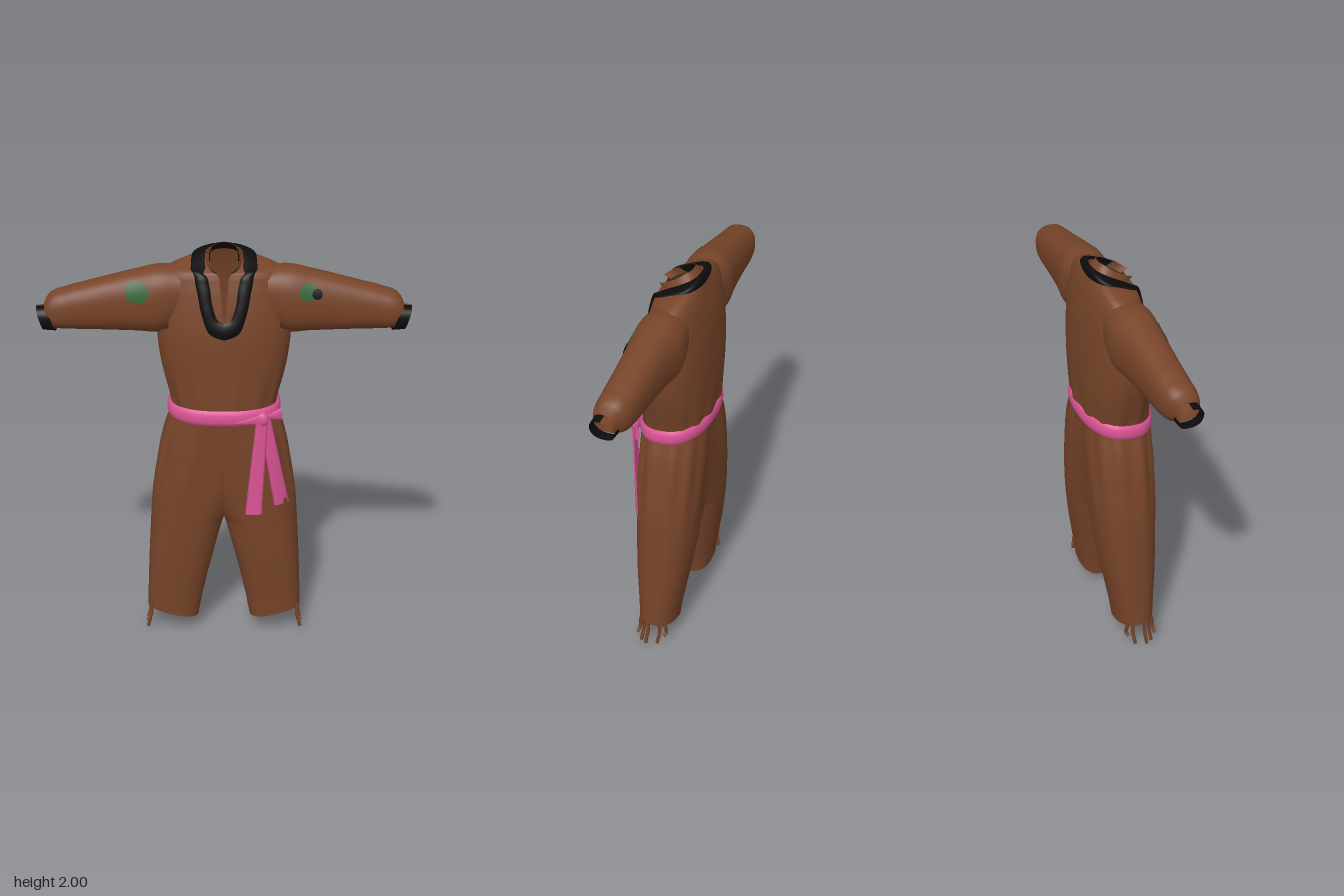
import * as THREE from 'three';

const material = (name, color) =>
  new THREE.MeshStandardMaterial({ name, color, side: THREE.DoubleSide });
const TAU = Math.PI * 2;

// Smooth interpolation of table rows, keyed by their first column.
function sample(rows, key) {
  let i = 0;
  while (i < rows.length - 2 && key > rows[i + 1][0]) i++;
  const f = THREE.MathUtils.clamp((key - rows[i][0]) / (rows[i + 1][0] - rows[i][0]), 0, 1);
  const at = (k) => rows[THREE.MathUtils.clamp(k, 0, rows.length - 1)];
  return rows[0].map((_, c) => {
    const [p, q, r, s] = [at(i - 1)[c], at(i)[c], at(i + 1)[c], at(i + 2)[c]];
    const m0 = (r - p) / 2, m1 = (s - q) / 2, f2 = f * f, f3 = f2 * f;
    return q * (2 * f3 - 3 * f2 + 1) + m0 * (f3 - 2 * f2 + f) + r * (3 * f2 - 2 * f3) + m1 * (f3 - f2);
  });
}

// Rounded-box outline: [sine-like, cosine-like] of an angle.
const N = 2.4;
const round = (t) => Math.sign(t) * Math.abs(t) ** (2 / N);
const oval = (a) => [round(Math.sin(a)), round(Math.cos(a))];

// Surface through point(u, v) on a grid; closed wraps u, skip drops cells.
function loft(name, mat, point, nu, nv, closed = false, skip = null) {
  const pos = [], index = [], cols = closed ? nu : nu + 1;
  for (let j = 0; j <= nv; j++)
    for (let i = 0; i < cols; i++) pos.push(...point(i / nu, j / nv));
  for (let j = 0; j < nv; j++)
    for (let i = 0; i < nu; i++) {
      if (skip && skip(point((i + 0.5) / nu, (j + 0.5) / nv))) continue;
      const a = j * cols + i, b = j * cols + ((i + 1) % cols);
      index.push(a, b, a + cols, b, b + cols, a + cols);
    }
  const geo = new THREE.BufferGeometry();
  geo.setAttribute('position', new THREE.Float32BufferAttribute(pos, 3));
  geo.setIndex(index);
  geo.computeVertexNormals();
  const mesh = new THREE.Mesh(geo, mat);
  mesh.name = name;
  return mesh;
}

// y, half width, front z, back z, tilt
const TORSO = [
  [1.15, 0.24, 0.13, -0.18, 0], [1.25, 0.25, 0.135, -0.185, 0], [1.4, 0.288, 0.13, -0.19, 0],
  [1.5, 0.306, 0.128, -0.19, 0], [1.6, 0.314, 0.122, -0.187, 0], [1.72, 0.308, 0.106, -0.178, 0],
  [1.8, 0.3, 0.09, -0.167, 0], [1.87, 0.285, 0.073, -0.152, 0.03], [1.905, 0.25, 0.065, -0.14, 0.12],
  [1.93, 0.19, 0.06, -0.13, 0.25], [1.95, 0.135, 0.055, -0.12, 0.4], [1.965, 0.085, 0.05, -0.11, 0.5],
];
function torsoPoint(y, a, off = 0) {
  const [, w, zf, zb, tilt] = sample(TORSO, y);
  const [s, c] = oval(a);
  const fold = 0.004 * Math.sin(a * 13) * Math.exp(-(((y - 1.27) / 0.12) ** 2));
  const z = (zf + zb) / 2 + ((zf - zb) / 2 + off + fold) * c;
  return [(w + off + fold) * s, y - tilt * (z + 0.08) + off * 0.4, z];
}
// Half angle of the neck slit by height
const SLIT = [[1.15, 0], [1.6, 0], [1.67, 0], [1.71, 0.014], [1.87, 0.045], [1.91, 0.1], [1.965, 0.34]];

// x, top y, bottom y, front z, back z, lean
const SLEEVE = [
  [0.2, 1.9, 1.64, 0.07, -0.14, 0], [0.3, 1.905, 1.588, 0.083, -0.15, 0], [0.4, 1.885, 1.592, 0.075, -0.135, 0],
  [0.55, 1.85, 1.598, 0.068, -0.12, 0], [0.7, 1.812, 1.603, 0.065, -0.11, 0.03],
  [0.77, 1.79, 1.607, 0.065, -0.1, 0.12], [0.8, 1.768, 1.612, 0.062, -0.085, 0.22], [0.818, 1.732, 1.622, 0.055, -0.058, 0.3],
];
const CUFF = [[0.8, 1.722, 1.602, 0.06, -0.058, 0.3], [0.855, 1.718, 1.606, 0.058, -0.056, 0.3]];
function armPoint(rows, x, a) {
  const [, yt, yb, zf, zb, lean] = sample(rows, x);
  const [s, c] = oval(a);
  const dy = ((yt - yb) / 2) * c;
  return [x + lean * dy, (yt + yb) / 2 + dy, (zf + zb) / 2 + ((zf - zb) / 2) * s];
}

// y, inner x, centre x, outer x, front z, back z, hem slant
const LEG = [
  [0.1, 0.128, 0.25, 0.383, 0.083, -0.1, 0.24], [0.14, 0.12, 0.247, 0.382, 0.085, -0.105, 0.2],
  [0.24, 0.097, 0.235, 0.378, 0.092, -0.12, 0.08], [0.42, 0.052, 0.21, 0.371, 0.107, -0.148, 0],
  [0.62, 0, 0.18, 0.36, 0.117, -0.17, 0], [0.7, -0.06, 0.17, 0.355, 0.12, -0.175, 0],
  [0.8, -0.12, 0.15, 0.344, 0.125, -0.18, 0], [1, -0.13, 0.1, 0.31, 0.13, -0.185, 0],
  [1.1, -0.13, 0.08, 0.285, 0.13, -0.184, 0], [1.22, -0.1, 0.06, 0.245, 0.132, -0.18, 0],
];
function legPoint(y, a) {
  const [, xi, xc, xo, zf, zb, slant] = sample(LEG, y);
  const [s, c] = oval(a);
  const fold = 1 + 0.03 * Math.sin(a * 11) * Math.exp(-(((y - 1.02) / 0.25) ** 2));
  const dx = (s > 0 ? xo - xc : xc - xi) * s;
  return [xc + dx * fold, y + slant * dx, (zf + zb) / 2 + ((zf - zb) / 2) * c * fold];
}

// Standing collar, lower at the front
function collarPoint(a, v, off = 0) {
  const L = THREE.MathUtils.lerp, [s, c] = oval(a);
  const zf = L(0.055, 0.085, v), zb = L(-0.112, -0.08, v), t = (1 - c) / 2;
  return [(L(0.088, 0.07, v) + off) * s, L(L(1.885, 1.905, v), L(1.96, 2, v), t),
    (zf + zb) / 2 + ((zf - zb) / 2 + off) * c];
}

export function createModel() {
  const model = new THREE.Group();
  model.name = 'robe';
  const brown = material('brown cloth', 0x774429);
  const black = material('black trim', 0x0c0c0c);
  const pink = material('pink sash', 0xdd5596);
  const green = material('green patch', 0x376338);
  const add = (...meshes) => model.add(...meshes);

  // Torso with a slit at the neck and openings into the sleeves
  add(loft('torso', brown, (u, v) => {
    const y = 1.15 + 0.815 * v, g = Math.max(0, sample(SLIT, y)[1]);
    return torsoPoint(y, g + (TAU - 2 * g) * u);
  }, 96, 80, false, ([x, y, z]) => Math.abs(x) > 0.21 && y > 1.62 && y < 1.78 && Math.abs(z + 0.02) < 0.085));

  // Collar and its dark lining
  add(loft('collar', brown, (u, v) => collarPoint(0.4 + (TAU - 0.8) * u, v), 48, 6));
  add(loft('collarLining', black, (u, v) => collarPoint(1.4 + (TAU - 2.8) * u, v, -0.005), 32, 6));

  // Neck trim between two rails of (angle, height) on the torso
  const rail = (list) => new THREE.SplineCurve(list.map((p) => new THREE.Vector2(...p)));
  const outer = rail([[0, 1.59], [0.17, 1.625], [0.28, 1.72], [0.36, 1.82], [0.49, 1.9],
    [0.9, 1.932], [1.57, 1.945], [2.5, 1.935], [Math.PI, 1.925]]);
  const inner = rail([[0, 1.67], [0.07, 1.69], [0.13, 1.76], [0.17, 1.84], [0.27, 1.9],
    [0.7, 1.952], [1.57, 1.965], [2.5, 1.965], [Math.PI, 1.965]]);
  add(loft('neckTrim', black, (u, v) => {
    const side = u < 0.5 ? 1 : -1, t = u < 0.5 ? u * 2 : 2 - u * 2;
    const p = inner.getPoint(t).lerp(outer.getPoint(t), v);
    return torsoPoint(p.y, side * p.x, 0.003 + 0.01 * Math.sin(Math.PI * v) ** 0.5);
  }, 128, 8, true));

  // Sleeves, cuffs, legs and frayed hems, mirrored
  for (const [side, label] of [[1, 'left'], [-1, 'right']]) {
    const half = new THREE.Group();
    half.name = label + 'Side';
    half.scale.x = side;
    half.add(loft('sleeve', brown, (u, v) => armPoint(SLEEVE, 0.2 + 0.618 * v, u * TAU), 48, 48, true));
    const cuff = (a0, a1) => (u, v) => armPoint(CUFF, 0.8 + 0.055 * v, a0 + (a1 - a0) * u);
    half.add(loft('cuffTrim', black, cuff(0, TAU * 0.75), 36, 4));
    half.add(loft('cuffBack', brown, cuff(TAU * 0.75, TAU), 12, 4));
    half.add(loft('trouserLeg', brown, (u, v) => legPoint(0.1 + 1.12 * v, u * TAU), 72, 56, true));
    for (const [z, end] of [[0.055, 0.06], [0.035, 0.015], [0.012, 0], [-0.05, 0.02], [-0.085, 0.08]]) {
      const path = new THREE.CatmullRomCurve3([
        new THREE.Vector3(0.37, 0.15, z * 0.9), new THREE.Vector3(0.366, 0.09, z),
        new THREE.Vector3(0.384, end, z + 0.008)]);
      const strand = new THREE.Mesh(new THREE.TubeGeometry(path, 8, 0.009, 6), brown);
      strand.name = 'frayedStrand';
      half.add(strand);
    }
    add(half);
  }

  // Round patches laid on the front of the sleeves
  const patch = (name, mat, x, y, rx, ry, lift) => {
    const geo = new THREE.RingGeometry(0.0001, 1, 28, 5).scale(rx, ry, 1).translate(x, y, 0);
    const p = geo.attributes.position;
    for (let i = 0; i < p.count; i++) {
      const [, yt, yb, zf, zb] = sample(SLEEVE, Math.abs(p.getX(i)));
      const h = Math.min(1, Math.abs((p.getY(i) - (yt + yb) / 2) / ((yt - yb) / 2)));
      p.setZ(i, (zf + zb) / 2 + ((zf - zb) / 2) * (1 - h ** N) ** (1 / N) + lift);
    }
    geo.computeVertexNormals();
    const mesh = new THREE.Mesh(geo, mat);
    mesh.name = name;
    add(mesh);
  };
  patch('rightPatch', green, -0.4, 1.805, 0.055, 0.052, 0.004);
  patch('leftPatch', green, 0.385, 1.805, 0.043, 0.042, 0.004);
  patch('leftSpot', black, 0.428, 1.797, 0.024, 0.025, 0.007);

  // Sash around the waist, higher at the back
  add(loft('sash', pink, (u, v) => {
    const [s, c] = oval(u * TAU), off = 0.012 * Math.sin(Math.PI * v) ** 0.5;
    const z = -0.022 + (0.16 + off) * c;
    return [(0.258 + off) * s, 1.175 + 0.077 * v - 0.09 * z, z];
  }, 72, 8, true));

  // Bow and hanging tails: flat strips bent to follow the cloth
  const strip = (name, z, ...edges) => add(loft(name, pink, (u, v) => {
    const [a, b] = edges, w = Math.abs(((u + 0.25) % 1) * 2 - 1);
    const x0 = THREE.MathUtils.lerp(a[0], b[0], v), x1 = THREE.MathUtils.lerp(a[1], b[1], v);
    const x = x0 + (x1 - x0) * w, front = u >= 0.25 && u < 0.75 ? 0 : 0.008;
    const y = THREE.MathUtils.lerp(a[2], b[2], v);
    return [x, y, z(x, y) + front];
  }, 16, 16, true));
  const drape = (x, y) => 0.146 - 2.2 * Math.max(0, x - 0.14) ** 2 - 0.02 * (1.2 - y);
  strip('innerTail', (x, y) => drape(x, y) + 0.006, [0.15, 0.205, 1.2], [0.1, 0.182, 0.7]);
  strip('outerTail', drape, [0.165, 0.22, 1.2], [0.24, 0.315, 0.735]);
  const loop = (name, length, height, x, y, z, turn) => {
    const mesh = new THREE.Mesh(new THREE.ConeGeometry(height, length, 16), pink);
    mesh.name = name;
    mesh.geometry.scale(1, 1, 0.35).rotateZ(Math.PI / 2);
    mesh.position.set(x, y, z);
    mesh.rotation.y = turn;
    add(mesh);
  };
  loop('bowPoint', 0.15, 0.026, 0.11, 1.2, 0.168, 0.34);
  loop('bowLoop', 0.1, 0.032, 0.225, 1.208, 0.118, 0.5);
  const knot = new THREE.Mesh(new THREE.SphereGeometry(1, 20, 14).scale(0.03, 0.036, 0.022), pink);
  knot.name = 'knot';
  knot.position.set(0.18, 1.2, 0.142);
  add(knot);
  return model;
}
